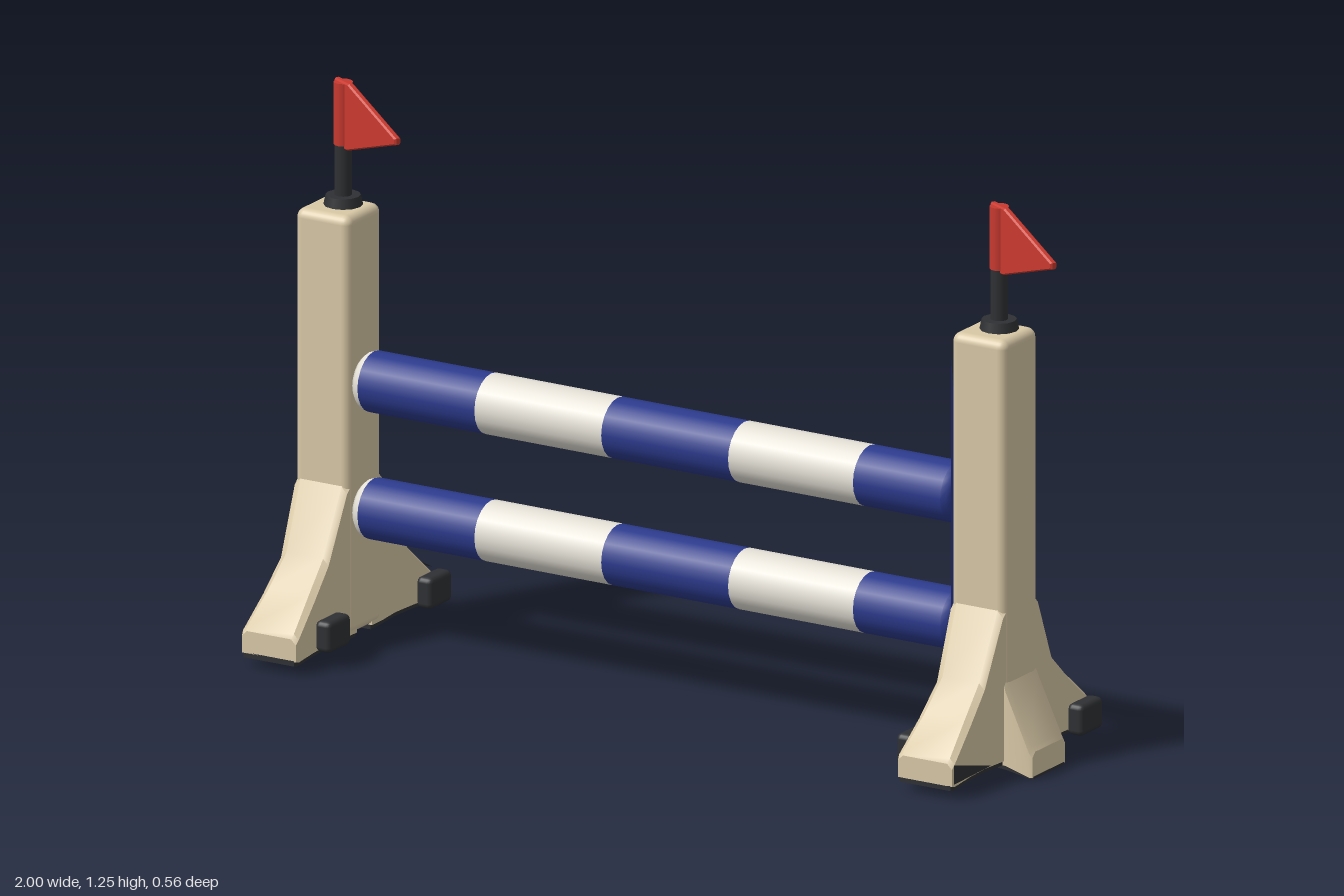
import * as THREE from 'three';
import { toCreasedNormals } from 'three/addons/utils/BufferGeometryUtils.js';
import { RoundedBoxGeometry } from 'three/addons/geometries/RoundedBoxGeometry.js';

const mat = (color, side = THREE.FrontSide) => new THREE.MeshStandardMaterial({ color, side });
const BEIGE = mat(0xd8c8a6), BLUE = mat(0x2b3a8c), WHITE = mat(0xe4e0d6);
const RED = mat(0xc8392f), DARK = mat(0x2e3033);
const BLUE_SHEET = mat(0x2b3a8c, THREE.DoubleSide), DARK_SHEET = mat(0x2e3033, THREE.DoubleSide);

function add(parent, name, geometry, material, x = 0, y = 0, z = 0) {
  const mesh = new THREE.Mesh(geometry, material);
  mesh.name = name;
  mesh.position.set(x, y, z);
  parent.add(mesh);
  return mesh;
}

// Loft along +z; each station is [z, top, bottom, half width, top chamfer]
function loft(stations) {
  const pos = [], idx = [], n = 6, last = (stations.length - 1) * n;
  for (const [z, t, b, h, c] of stations) {
    for (const [x, y] of [[-h, b], [h, b], [h, t - c], [h - c, t], [c - h, t], [-h, t - c]]) pos.push(x, y, z);
  }
  for (let k = 0; k < last; k += n) {
    for (let i = 0; i < n; i++) {
      const j = (i + 1) % n;
      idx.push(k + i, k + j, k + n + j, k + i, k + n + j, k + n + i);
    }
  }
  for (let i = 1; i < n - 1; i++) idx.push(0, i + 1, i, last, last + i, last + i + 1);
  const g = new THREE.BufferGeometry();
  g.setAttribute('position', new THREE.Float32BufferAttribute(pos, 3));
  g.setIndex(idx);
  return toCreasedNormals(g, 0.6);
}

function triangle(...points) {
  const g = new THREE.BufferGeometry().setFromPoints(points.map(p => new THREE.Vector3(...p)));
  g.computeVertexNormals();
  return g;
}

function flagGeometry() {
  const s = new THREE.Shape([[-0.022, 1.1], [0.025, 1.1], [0.22, 1.165], [0.22, 1.175], [0.03, 1.245], [-0.022, 1.245]]
    .map(p => new THREE.Vector2(...p)));
  return new THREE.ExtrudeGeometry(s, {
    depth: 0.008, bevelEnabled: true, bevelSize: 0.003, bevelThickness: 0.004, bevelSegments: 1
  }).translate(0, 0, -0.004);
}

const LONG_FOOT = [
  [0.03, 0.40, 0.03, 0.066, 0.014],
  [0.07, 0.365, 0.03, 0.066, 0.014],
  [0.135, 0.22, 0.03, 0.06, 0.014],
  [0.2, 0.155, 0.03, 0.064, 0.014],
  [0.272, 0.09, 0.028, 0.07, 0.012],
  [0.28, 0.08, 0.03, 0.068, 0.012]
];
const SIDE_FOOT = [
  [0.03, 0.32, 0.02, 0.06, 0.014],
  [0.07, 0.20, 0.02, 0.067, 0.014],
  [0.13, 0.07, 0.004, 0.068, 0.012],
  [0.137, 0.06, 0.004, 0.066, 0.012]
];
const soleOf = foot => foot.map(([z, , b, h]) => [z, b + 0.002, Math.max(0, b - 0.01), h - 0.004, 0.001]);

// One upright with three feet, castors and a pennant; outer is the sign of its outward side
function createStand(name, x, outer) {
  const stand = new THREE.Group();
  stand.name = name;
  stand.position.x = x;
  add(stand, 'post', new RoundedBoxGeometry(0.138, 0.94, 0.138, 3, 0.02), BEIGE, 0, 0.5, 0);

  const feet = [['frontFoot', LONG_FOOT, 0], ['backFoot', LONG_FOOT, Math.PI], ['outerFoot', SIDE_FOOT, outer * Math.PI / 2]];
  for (const [label, profile, angle] of feet) {
    add(stand, label, loft(profile), BEIGE).rotation.y = angle;
    add(stand, label + 'Sole', loft(soleOf(profile)), DARK).rotation.y = angle;
  }

  // Castors: two behind on a shared axle, one at the inner front
  const backZ = outer > 0 ? -0.22 : -0.24;
  const castor = () => new RoundedBoxGeometry(0.04, 0.07, 0.088, 2, 0.012);
  for (const s of [-1, 1]) add(stand, 'backCastor', castor(), DARK, s * 0.092, 0.06, backZ);
  add(stand, 'backAxle', new THREE.BoxGeometry(0.17, 0.03, 0.04), DARK, 0, 0.04, backZ);
  add(stand, 'frontCastor', castor(), DARK, -outer * 0.09, 0.07, outer > 0 ? 0.18 : 0.165);

  // Pennant on a short pole
  const flag = new THREE.Group();
  flag.name = 'flag';
  flag.position.set(0.005, 0, -0.012);
  add(flag, 'poleCollar', new THREE.CylinderGeometry(0.038, 0.043, 0.024, 12), DARK, 0, 0.98, 0);
  add(flag, 'pole', new THREE.CylinderGeometry(0.019, 0.019, 0.26, 12), DARK, 0, 1.1, 0);
  add(flag, 'poleSleeve', new THREE.CylinderGeometry(0.021, 0.021, 0.14, 12), RED, 0, 1.175, 0);
  add(flag, 'pennant', flagGeometry(), RED).rotation.y = -0.46;
  stand.add(flag);
  return stand;
}

// Horizontal rail with alternating bands and rounded ends
function createRail(name, y) {
  const rail = new THREE.Group();
  rail.name = name;
  rail.position.y = y;
  const R = 0.067, edges = [-0.775, -0.48, -0.16, 0.16, 0.475, 0.695];
  for (let i = 0; i < 5; i++) {
    const a = edges[i], b = edges[i + 1];
    const g = new THREE.CylinderGeometry(R, R, b - a, 20, 1, true);
    add(rail, 'band', g, i % 2 ? WHITE : BLUE, (a + b) / 2).rotation.z = -Math.PI / 2;
  }
  const profile = [[R, 0], [R - 0.004, 0.012], [R - 0.014, 0.022], [0, 0.026]].map(p => new THREE.Vector2(...p));
  const cap = new THREE.LatheGeometry(profile, 20);
  add(rail, 'leftEnd', cap, BLUE, 0.695).rotation.z = -Math.PI / 2;
  add(rail, 'rightEnd', cap, WHITE, -0.775).rotation.z = Math.PI / 2;
  return rail;
}

export function createModel() {
  const model = new THREE.Group();
  model.name = 'jumpingObstacle';
  const left = createStand('leftStand', 0.79, 1);
  const right = createStand('rightStand', -0.865, -1);
  model.add(left, right, createRail('upperRail', 0.59), createRail('lowerRail', 0.305));

  // Painted patches
  add(left, 'innerPanel', triangle([-0.071, 0.92, 0.062], [-0.071, 0.2, 0.062], [-0.071, 0.2, -0.03]), BLUE_SHEET);
  add(left, 'footPatch', triangle([0.067, 0.035, 0.12], [0.072, 0.035, 0.278], [0.072, 0.078, 0.278]), DARK_SHEET);
  add(right, 'footPatch', triangle([-0.064, 0.165, -0.195], [-0.068, 0.096, -0.273], [0.068, 0.096, -0.273]), DARK_SHEET);
  return model;
}
